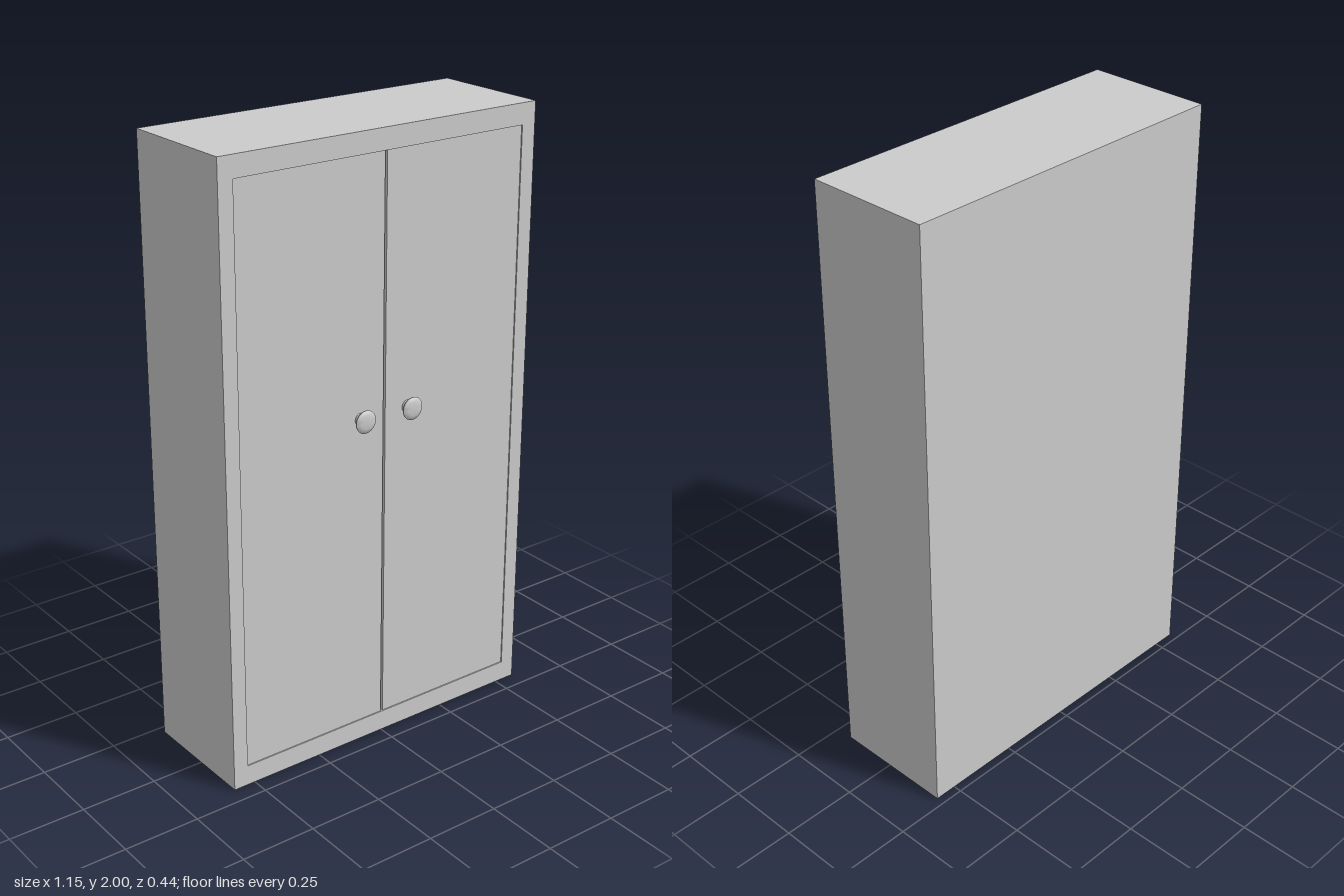
import * as THREE from 'three';
import { toCreasedNormals } from 'three/addons/utils/BufferGeometryUtils.js';

const W = 1.15, H = 2, BACK = -0.222, FRONT = 0.192;
const SIDE = 0.05, RAIL = 0.068;      // frame widths around the doors
const FRAME_DEPTH = 0.02, RECESS = 0.004;
const MID = 0.005, GAP = 0.008;       // seam between the doors

export function createModel() {
  const group = new THREE.Group();
  const material = new THREE.MeshStandardMaterial({ color: 0xcccccc });

  const add = (name, geometry, x, y, z) => {
    const mesh = new THREE.Mesh(geometry, material);
    mesh.name = name;
    mesh.position.set(x, y, z);
    group.add(mesh);
    return mesh;
  };

  // Cabinet body behind the front frame
  const depth = FRONT - FRAME_DEPTH - BACK;
  add('cabinetBody', new THREE.BoxGeometry(W, H, depth), 0, H / 2, BACK + depth / 2);

  // Front frame with the door opening
  const rect = (path, x, y0, y1) =>
    path.moveTo(-x, y0).lineTo(x, y0).lineTo(x, y1).lineTo(-x, y1).closePath();
  const outline = new THREE.Shape();
  rect(outline, W / 2, 0, H);
  const opening = new THREE.Path();
  rect(opening, W / 2 - SIDE, RAIL, H - RAIL);
  outline.holes.push(opening);
  add('frontFrame', new THREE.ExtrudeGeometry(outline, { depth: FRAME_DEPTH, bevelEnabled: false }),
    0, 0, FRONT - FRAME_DEPTH);

  // Knob profile: narrow neck, flared back, shallow domed face
  const profile = [
    [0.021, -0.006], [0.02, 0.003], [0.023, 0.008], [0.036, 0.019],
    [0.037, 0.023], [0.034, 0.026], [0.022, 0.029], [0, 0.03],
  ].map(([r, h]) => new THREE.Vector2(r, h));
  const knob = toCreasedNormals(new THREE.LatheGeometry(profile, 32).rotateX(Math.PI / 2), 0.7);

  // Pair of slightly recessed doors, each with a knob near the seam
  const doorDepth = FRAME_DEPTH - RECESS;
  for (const [label, s] of [['left', 1], ['right', -1]]) {
    const inner = MID + s * GAP / 2, outer = s * (W / 2 - SIDE);
    add(label + 'Door', new THREE.BoxGeometry(Math.abs(outer - inner), H - 2 * RAIL, doorDepth),
      (inner + outer) / 2, H / 2, FRONT - FRAME_DEPTH + doorDepth / 2);
    add(label + 'Knob', knob, MID + s * 0.09, 1.12, FRONT);
  }
  return group;
}
